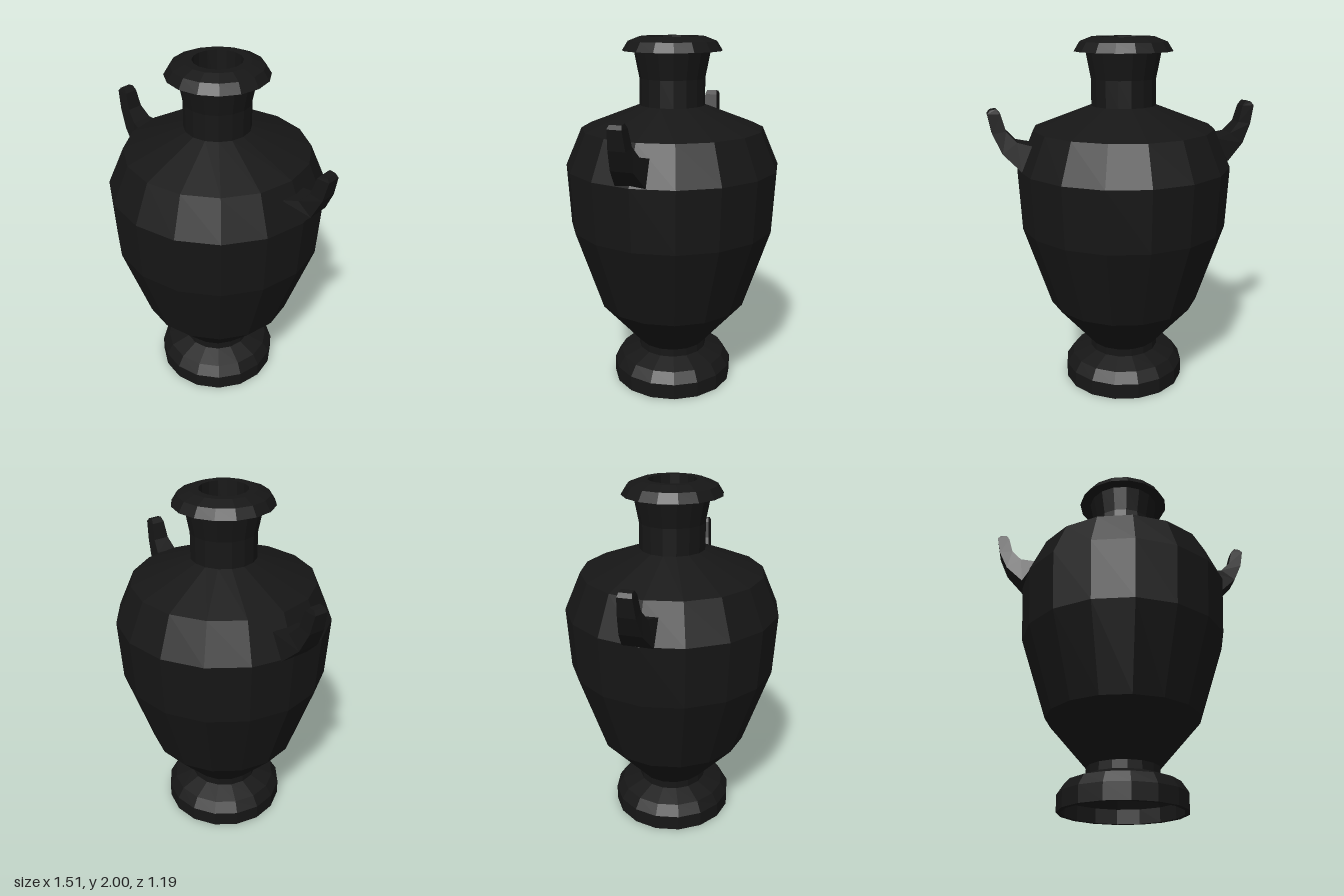
import * as THREE from 'three';

const glaze = new THREE.MeshStandardMaterial({ color: 0x161616, flatShading: true, side: THREE.DoubleSide });

// Lofts four-cornered sections: [outerX, outerY, innerX, innerY, halfWidth]
function loft(sections) {
  const pos = [];
  const index = [];
  for (const [ox, oy, ix, iy, w] of sections) {
    pos.push(ox, oy, w, ox, oy, -w, ix, iy, -w, ix, iy, w);
  }
  for (let s = 0; s < sections.length - 1; s++) {
    for (let i = 0; i < 4; i++) {
      const a = s * 4 + i;
      const b = s * 4 + (i + 1) % 4;
      index.push(a, b, b + 4, a, b + 4, a + 4);
    }
  }
  const e = (sections.length - 1) * 4;
  index.push(e, e + 1, e + 2, e, e + 2, e + 3, 0, 2, 1, 0, 3, 2);
  const g = new THREE.BufferGeometry();
  g.setAttribute('position', new THREE.Float32BufferAttribute(pos, 3));
  g.setIndex(index);
  g.computeVertexNormals();
  return g;
}

function turned(name, profile) {
  const points = profile.map(([r, y]) => new THREE.Vector2(r, y));
  const mesh = new THREE.Mesh(new THREE.LatheGeometry(points, 16), glaze);
  mesh.name = name;
  mesh.position.x = 0.01;
  return mesh;
}

export function createModel() {
  const vase = new THREE.Group();
  vase.name = 'vase';

  // Hollow foot and its short stem
  vase.add(turned('foot', [
    [0, 0.16], [0.19, 0.16], [0.29, 0.13], [0.325, 0.08], [0.325, 0],
    [0.35, 0], [0.35, 0.09], [0.31, 0.15], [0.2, 0.19], [0.2, 0.235],
  ]));

  // Swelling body up to the sloping shoulder
  vase.add(turned('body', [
    [0.2, 0.235], [0.43, 0.5], [0.58, 0.96], [0.597, 1.3], [0.505, 1.51], [0.18, 1.635],
  ]));

  // Neck, overhanging lip and the mouth inside
  vase.add(turned('neckAndLip', [
    [0.18, 1.635], [0.18, 1.78], [0.208, 1.925], [0.272, 1.925],
    [0.24, 1.975], [0.175, 2], [0.13, 2], [0.13, 1.75], [0, 1.75],
  ]));

  // Two upswept handles that taper towards the tip
  const handleShape = loft([
    [0.59, 1.303, 0.515, 1.437, 0.083],
    [0.685, 1.4, 0.606, 1.46, 0.06],
    [0.733, 1.508, 0.66, 1.52, 0.046],
    [0.753, 1.612, 0.685, 1.612, 0.038],
    [0.738, 1.632, 0.705, 1.637, 0.032],
  ]);
  for (const [name, turn] of [['leftHandle', 0], ['rightHandle', Math.PI]]) {
    const handle = new THREE.Mesh(handleShape, glaze);
    handle.name = name;
    handle.rotation.y = turn;
    vase.add(handle);
  }

  return vase;
}
